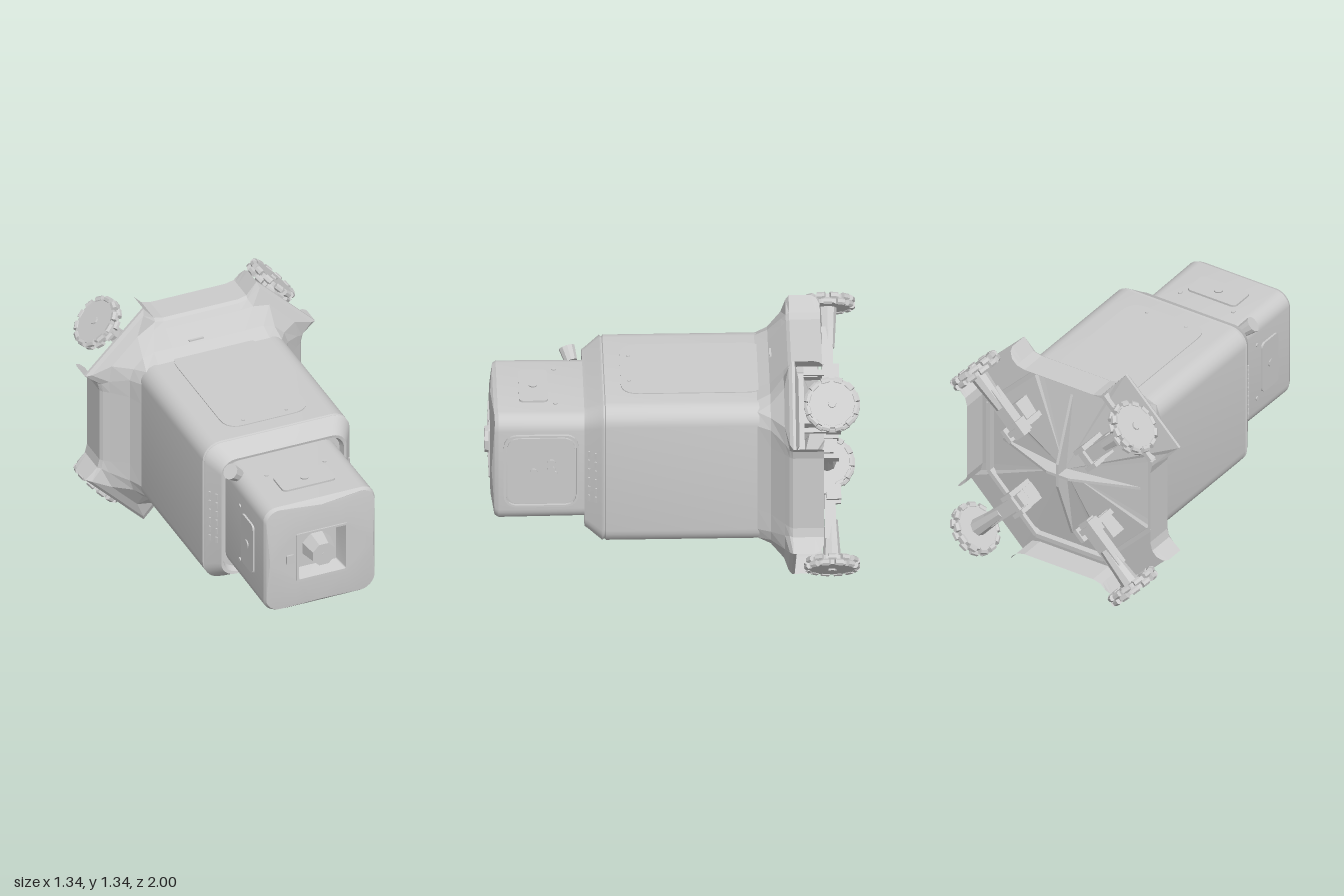
import * as THREE from 'three';
import { toCreasedNormals, mergeGeometries } from 'three/addons/utils/BufferGeometryUtils.js';

const CY = 0.683; // height of the body axis, which runs along z
const mat = new THREE.MeshStandardMaterial({ color: 0xcccccc, side: THREE.DoubleSide });
const flat = new THREE.MeshStandardMaterial({ color: 0xcccccc, side: THREE.DoubleSide, flatShading: true });

function add(parent, name, geo, pos = [0, 0, 0], rot = [0, 0, 0], m = flat) {
  const mesh = new THREE.Mesh(geo, m);
  mesh.name = name;
  mesh.position.set(...pos);
  mesh.rotation.set(...rot);
  parent.add(mesh);
}

// Rounded square cross-section at depth z
function ring(half, r, z, seg = 6) {
  const pts = [];
  for (let q = 0; q < 4; q++) for (let i = 0; i <= seg; i++) {
    const a = (q + i / seg) * Math.PI / 2, c = q * Math.PI / 2 + Math.PI / 4, d = (half - r) * Math.SQRT2;
    pts.push([d * Math.cos(c) + r * Math.cos(a), d * Math.sin(c) + r * Math.sin(a), z]);
  }
  return pts;
}

// Pull the corners of a cross-section backward
const dip = pts => pts.map(([x, y, z]) => [x, y, z - 0.15 * Math.max(0, Math.hypot(x, y) - 0.33)]);

// Skin over cross-sections ordered from back to front; a cap is given by the depth of its middle
function loft(rings, { closed = true, capBack, capFront, crease = 0.5 } = {}) {
  const n = rings[0].length, pos = rings.flat(2), idx = [];
  for (let j = 0; j < rings.length - 1; j++) for (let i = 0; i < (closed ? n : n - 1); i++) {
    const a = j * n + i, b = j * n + (i + 1) % n;
    idx.push(a, b, b + n, a, b + n, a + n);
  }
  const cap = (j, z, flip) => {
    const c = pos.length / 3;
    pos.push(0, 0, z);
    for (let i = 0; i < n; i++) {
      const a = j * n + i, b = j * n + (i + 1) % n;
      idx.push(c, flip ? b : a, flip ? a : b);
    }
  };
  if (capBack !== undefined) cap(0, capBack, true);
  if (capFront !== undefined) cap(rings.length - 1, capFront, false);
  const g = new THREE.BufferGeometry();
  g.setAttribute('position', new THREE.Float32BufferAttribute(pos, 3));
  g.setIndex(idx);
  return toCreasedNormals(g, crease);
}

function roundedRect(w, h, r, S = THREE.Shape) {
  const s = new S(), x = w / 2, y = h / 2;
  s.moveTo(-x + r, -y);
  s.lineTo(x - r, -y).quadraticCurveTo(x, -y, x, -y + r);
  s.lineTo(x, y - r).quadraticCurveTo(x, y, x - r, y);
  s.lineTo(-x + r, y).quadraticCurveTo(-x, y, -x, y - r);
  s.lineTo(-x, -y + r).quadraticCurveTo(-x, -y, -x + r, -y);
  return s;
}

function plate(w, h, r, d, border = 0) {
  const s = roundedRect(w, h, r);
  if (border) s.holes.push(roundedRect(w - 2 * border, h - 2 * border, r - border, THREE.Path));
  return new THREE.ExtrudeGeometry(s, { depth: d, bevelEnabled: false, curveSegments: 6 });
}

// Skirt outline: three points of a half side, mirrored and turned around the axis
const halfSide = (p, z) => [...p.map(([x, y]) => [x, -y, z]).reverse(), ...p.map(([x, y]) => [x, y, z])];
const turn = (pts, k) => pts.map(([x, y, z]) => {
  const c = Math.round(Math.cos(k * Math.PI / 2)), s = Math.round(Math.sin(k * Math.PI / 2));
  return [x * c - y * s, x * s + y * c, z];
});
const outline = (p, z) => [0, 1, 2, 3].flatMap(k => turn(halfSide(p, z), k));

export function createModel() {
  const model = new THREE.Group();
  const robot = new THREE.Group();
  robot.name = 'robot';
  robot.position.y = CY;
  model.add(robot);

  // Body tube with sloped collar
  add(robot, 'body', loft([
    ring(0.425, 0.1, -0.46), ring(0.425, 0.1, 0.36), ring(0.419, 0.1, 0.365), ring(0.419, 0.1, 0.372),
    ring(0.425, 0.1, 0.378), ring(0.418, 0.1, 0.39), ring(0.376, 0.09, 0.455), ring(0.366, 0.085, 0.473),
    ring(0.352, 0.08, 0.47), ring(0.342, 0.08, 0.43), ring(0.3, 0.08, 0.43)]), undefined, undefined, mat);

  // Head with domed front and square camera recess
  add(robot, 'head', loft([
    ring(0.322, 0.08, 0.42), dip(ring(0.325, 0.08, 0.945)), dip(ring(0.316, 0.08, 0.964)), ring(0.3, 0.3, 0.969),
    ring(0.15, 0.01, 0.972), ring(0.15, 0.01, 0.98), ring(0.138, 0.008, 0.98), ring(0.115, 0.008, 0.9)],
  { capFront: 0.9, crease: 0.35 }), undefined, undefined, mat);
  add(robot, 'cameraLens', new THREE.CylinderGeometry(0.07, 0.09, 0.11, 8), [0, 0, 0.945], [Math.PI / 2, Math.PI / 8, 0]);
  add(robot, 'cameraPupil', new THREE.CylinderGeometry(0.012, 0.012, 0.01, 8), [0, 0, 0.997], [Math.PI / 2, 0, 0]);
  add(robot, 'frontSensor', plate(0.045, 0.055, 0.008, 0.02), [-0.185, 0, 0.96]);

  // Large display on one side of the head
  const side = [0, Math.PI / 2, 0];
  add(robot, 'displayFrame', plate(0.4, 0.45, 0.08, 0.02, 0.012), [0.318, 0.002, 0.705], side);
  add(robot, 'display', plate(0.36, 0.41, 0.07, 0.015), [0.318, 0.002, 0.705], side);
  for (const [y, z, r] of [[0, 0.745, 0.02], [0.055, 0.65, 0.022], [0.012, 0.65, 0.022], [-0.01, 0.63, 0.012]])
    add(robot, 'displayButton', new THREE.CylinderGeometry(r, r, 0.012, 10), [0.337, y, z], [0, 0, Math.PI / 2]);

  // Small sensor plates on the other three sides of the head
  for (const a of [Math.PI / 2, Math.PI, -Math.PI / 2]) {
    const g = new THREE.Group();
    g.name = 'headSensor';
    g.rotation.z = a;
    robot.add(g);
    add(g, 'sensorPlate', plate(0.155, 0.31, 0.03, 0.015), [0.32, 0, 0.74], side);
    add(g, 'sensorLens', new THREE.CylinderGeometry(0.022, 0.026, 0.012, 10), [0.337, 0, 0.74], [0, 0, Math.PI / 2]);
    for (const s of [-1, 1])
      add(g, 'screw', new THREE.CylinderGeometry(0.012, 0.012, 0.01, 8), [0.325, s * 0.17, 0.625], [0, 0, Math.PI / 2]);
  }

  // Corner knob behind the head
  add(robot, 'knob', new THREE.CylinderGeometry(0.045, 0.035, 0.08, 10), [-0.32, 0.325, 0.54], [0.4, 0, Math.PI / 4]);

  // Vent slots on the collar sides
  for (const s of [-1, 1]) for (let i = 0; i < 6; i++) for (const row of [0, 1])
    add(robot, 'vent', new THREE.BoxGeometry(0.014, 0.035, 0.012),
      [s * (0.404 - row * 0.023), (i - 2.5) * 0.055, 0.412 + row * 0.036], [0, s * -0.57, 0]);

  // Service hatches above and below
  for (const s of [-1, 1]) {
    const g = new THREE.Group();
    g.name = 'hatch';
    g.rotation.x = -s * Math.PI / 2;
    robot.add(g);
    add(g, 'hatchPanel', plate(0.49, 0.77, 0.1, 0.01), [0, s * 0.11, 0.42]);
    for (const x of [-0.13, 0.12])
      add(g, 'hatchPin', new THREE.CylinderGeometry(0.01, 0.01, 0.008, 8), [x, -s * 0.23, 0.431], [Math.PI / 2, 0, 0]);
  }
  add(robot, 'skirtSlot', new THREE.BoxGeometry(0.085, 0.008, 0.012), [-0.07, 0.474, -0.53]);

  // Flared skirt ending in four diagonal wheel fenders, closed by a shallow pyramid floor
  const lip = [[0.588, 0.22], [0.6, 0.27], [0.672, 0.33]];
  add(robot, 'skirt', loft([
    outline(lip, -0.65), outline(lip, -0.635),
    outline([[0.575, 0.22], [0.585, 0.27], [0.64, 0.34]], -0.617),
    outline([[0.545, 0.22], [0.55, 0.29], [0.535, 0.385]], -0.592),
    outline([[0.46, 0.21], [0.462, 0.32], [0.44, 0.385]], -0.52),
    outline([[0.425, 0.2], [0.425, 0.325], [0.396, 0.396]], -0.45)], { capBack: -0.74, crease: 0.2 }));

  // Side walls whose ends hook back around the wheels
  for (let k = 0; k < 4; k++) {
    const back = (x, y, z) => turn(halfSide([[0.588, 0.22], [0.6, 0.27], [x, y]], z), k);
    add(robot, 'sideWall', loft([back(0.63, 0.3, -0.8), back(0.66, 0.322, -0.78), back(0.672, 0.33, -0.75), back(0.672, 0.33, -0.645)],
      { closed: false, crease: 0.3 }));
  }

  // Underside: cross of tapered ribs and an octagonal frame
  const gusset = new THREE.Shape([[-0.5, 0], [0.5, 0], [0.07, 0.165], [-0.07, 0.165]].map(p => new THREE.Vector2(...p)));
  const rib = new THREE.ExtrudeGeometry(gusset, { depth: 0.016, bevelEnabled: false }).translate(0, 0, -0.008);
  rib.rotateX(-Math.PI / 2);
  for (let k = 0; k < 2; k++) add(robot, 'rib', rib, [0, 0, -0.65], [0, 0, k * Math.PI / 2]);
  for (let k = 0; k < 8; k++) {
    const a = k * Math.PI / 4;
    add(robot, 'floorFrame', new THREE.BoxGeometry(0.025, 0.43, 0.06), [0.52 * Math.cos(a), 0.52 * Math.sin(a), -0.67], [0, 0, a]);
  }

  // Omni wheel: hub disc with two staggered rows of rollers, axle along x
  const R = 0.132, parts = [];
  for (let row = 0; row < 2; row++) for (let i = 0; i < 12; i++) {
    const g = new THREE.CylinderGeometry(0.019, 0.019, 0.044, 7);
    g.rotateX(Math.PI / 2).translate(0, R, 0);
    g.rotateX((i + row / 2) * Math.PI / 6).translate(row ? 0.015 : -0.015, 0, 0);
    parts.push(g);
  }
  const rollers = mergeGeometries(parts);
  for (let k = 0; k < 4; k++) {
    const leg = new THREE.Group();
    leg.name = 'wheelLeg';
    leg.rotation.z = Math.PI / 4 + k * Math.PI / 2;
    leg.position.z = -0.845;
    robot.add(leg);
    const axle = [0, 0, -Math.PI / 2];
    add(leg, 'wheelDisc', new THREE.CylinderGeometry(0.13, 0.13, 0.05, 24), [0.715, 0, 0], axle);
    add(leg, 'wheelRollers', rollers, [0.715, 0, 0]);
    add(leg, 'wheelHub', new THREE.CylinderGeometry(0.022, 0.03, 0.07, 8), [0.715, 0, 0], axle);
    add(leg, 'motor', new THREE.CylinderGeometry(0.05, 0.035, 0.22, 8), [0.58, 0, 0], axle);
    add(leg, 'strut', new THREE.BoxGeometry(0.3, 0.075, 0.06), [0.43, 0, 0.005]);
    add(leg, 'bracket', new THREE.BoxGeometry(0.03, 0.13, 0.22), [0.325, 0, 0.065]);
    add(leg, 'bracketFoot', new THREE.BoxGeometry(0.14, 0.08, 0.12), [0.375, 0, 0.12]);
    for (const s of [-1, 1])
      add(leg, 'bracketClamp', new THREE.BoxGeometry(0.08, 0.025, 0.08), [0.33, s * 0.055, -0.015]);
  }
  return model;
}
